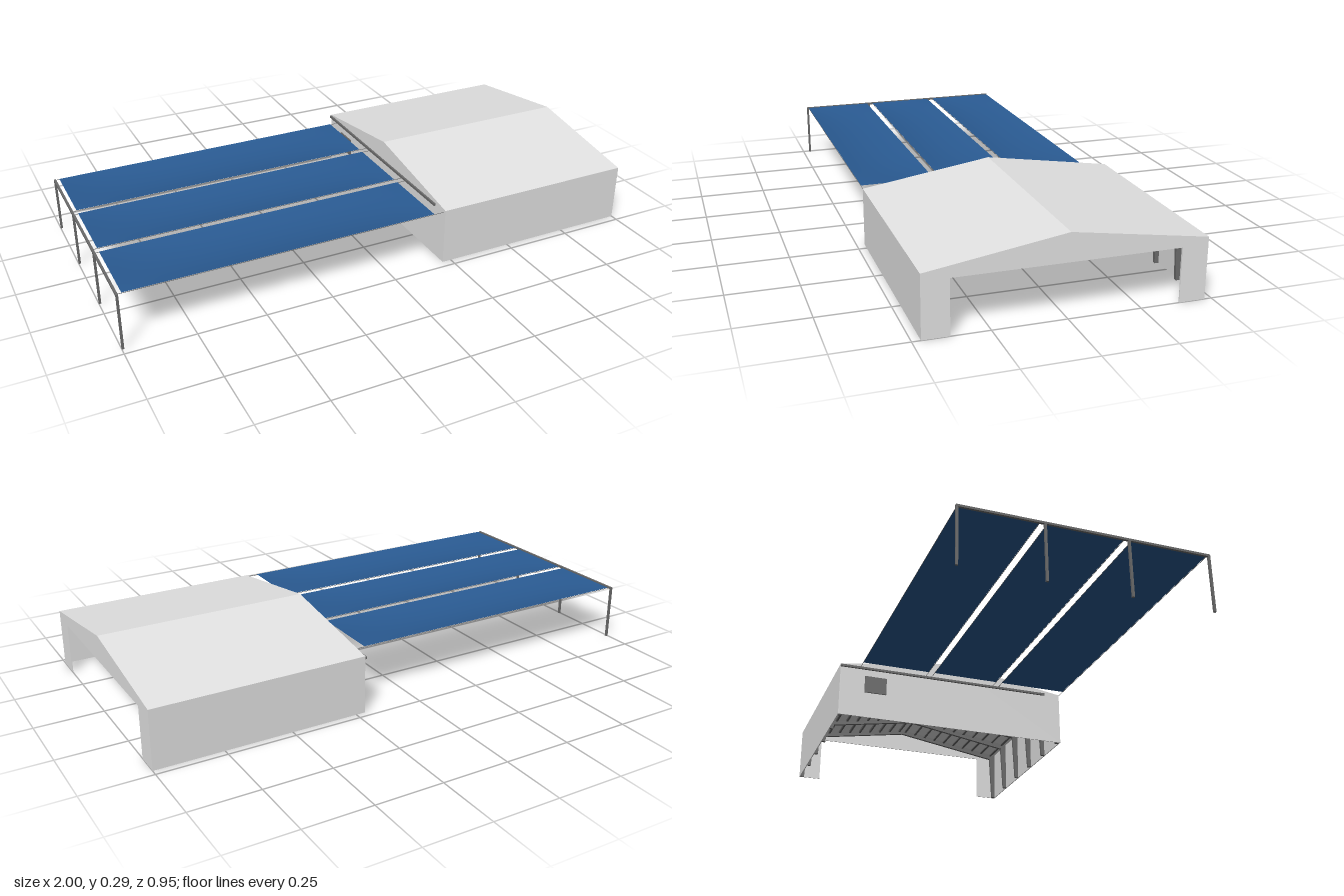
import * as THREE from 'three';

const mat = (name, color, side = THREE.FrontSide) => {
  const m = new THREE.MeshStandardMaterial({ color, side });
  m.name = name;
  return m;
};

export function createModel() {
  const cladding = mat('light grey cladding', 0xe4e4e4);
  const steel = mat('grey steel', 0x6c6c6c);
  const fabric = mat('blue fabric', 0x2a5b93, THREE.DoubleSide);

  const model = new THREE.Group();
  model.name = 'hallWithCanopy';
  const add = (parent, name, geometry, material) => {
    const mesh = new THREE.Mesh(geometry, material);
    mesh.name = name;
    parent.add(mesh);
    return mesh;
  };
  // Box given by its minimum and maximum corners
  const box = (parent, name, a, b, material) => {
    const g = new THREE.BoxGeometry(b[0] - a[0], b[1] - a[1], b[2] - a[2]);
    g.translate((a[0] + b[0]) / 2, (a[1] + b[1]) / 2, (a[2] + b[2]) / 2);
    return add(parent, name, g, material);
  };
  // Symmetric z-y outline extruded along x
  const slab = (parent, name, points, x, depth, material) => {
    const shape = new THREE.Shape(points.map(p => new THREE.Vector2(p[0], p[1])));
    const g = new THREE.ExtrudeGeometry(shape, { depth, bevelEnabled: false });
    g.rotateY(Math.PI / 2);
    g.translate(x, 0, 0);
    return add(parent, name, g, material);
  };

  // Hall shell
  const X0 = 0.215, X1 = 1, W = 0.473, EAVE = 0.216, RIDGE = 0.289, T = 0.004;
  const hall = new THREE.Group();
  hall.name = 'hall';
  hall.position.z = -0.002;
  model.add(hall);

  for (const s of [-1, 1]) {
    const z = s * (W - T / 2);
    box(hall, s > 0 ? 'frontWall' : 'backWall', [X0, 0, z - T / 2], [X1, EAVE - T, z + T / 2], cladding);
  }
  slab(hall, 'roof', [[-W, EAVE - T], [0, RIDGE - T], [W, EAVE - T], [W, EAVE], [0, RIDGE], [-W, EAVE]],
    X0, X1 - X0, cladding);
  const top = EAVE - T, peak = RIDGE - T;
  slab(hall, 'closedGable', [[-W, 0], [W, 0], [W, top], [0, peak], [-W, top]], X0, T, cladding);
  slab(hall, 'openGable', [[-W, 0], [-0.382, 0], [-0.382, 0.19], [0.382, 0.19], [0.382, 0],
    [W, 0], [W, top], [0, peak], [-W, top]], X1 - T, T, cladding);

  // Small panel on the closed gable, under the canopy
  box(hall, 'gablePanel', [X0 - 0.005, 0.105, -0.372], [X0, 0.175, -0.283], steel);

  // Portal frames with columns that widen towards the eaves
  const o = W - T;
  for (let i = 0; i < 6; i++) {
    slab(hall, 'portalFrame', [[-o, 0], [-o + 0.014, 0], [-o + 0.024, 0.192], [0, 0.266],
      [o - 0.024, 0.192], [o - 0.014, 0], [o, 0], [o, top], [0, peak], [-o, top]],
      0.223 + i * 0.152, 0.012, steel);
  }

  // Roof purlins
  const slope = Math.atan2(RIDGE - EAVE, W);
  for (const s of [-1, 1]) {
    for (let i = 0; i < 10; i++) {
      const z = 0.015 + i * 0.048;
      const p = add(hall, 'purlin', new THREE.BoxGeometry(X1 - X0 - 2 * T, 0.008, 0.009), steel);
      p.position.set((X0 + X1) / 2, peak - z * (RIDGE - EAVE) / W - 0.005, s * z);
      p.rotation.x = s * slope;
    }
  }

  // Canopy supports
  const canopy = new THREE.Group();
  canopy.name = 'canopy';
  model.add(canopy);
  for (let i = 0; i < 4; i++) {
    const z = -0.397 + i * 0.289;
    box(canopy, 'post', [-1, 0, z - 0.004], [-0.992, 0.206, z + 0.004], steel);
  }
  box(canopy, 'outerRail', [-1, 0.204, -0.401], [-0.992, 0.212, 0.474], steel);
  box(canopy, 'wallRail', [X0 - 0.007, 0.204, -0.475], [X0, 0.213, 0.402], steel);

  // Sagging fabric panels, each edged with thin tension cables
  for (const [z0, z1] of [[-0.395, -0.123], [-0.098, 0.168], [0.194, 0.468]]) {
    const g = new THREE.PlaneGeometry(1.15, z1 - z0, 32, 10);
    g.rotateX(-Math.PI / 2);
    const p = g.attributes.position;
    for (let i = 0; i < p.count; i++) {
      const u = p.getX(i) / 0.575, v = p.getZ(i) / ((z1 - z0) / 2);
      p.setY(i, -0.016 * (1 - u ** 4) * (1 - v * v));
    }
    g.translate(-0.405, 0.213, (z0 + z1) / 2);
    g.computeVertexNormals();
    add(canopy, 'fabricPanel', g, fabric);
    for (const z of [z0, z1]) {
      box(canopy, 'cable', [-0.995, 0.21, z - 0.0007], [X0 - 0.005, 0.2114, z + 0.0007], steel);
    }
  }
  return model;
}
